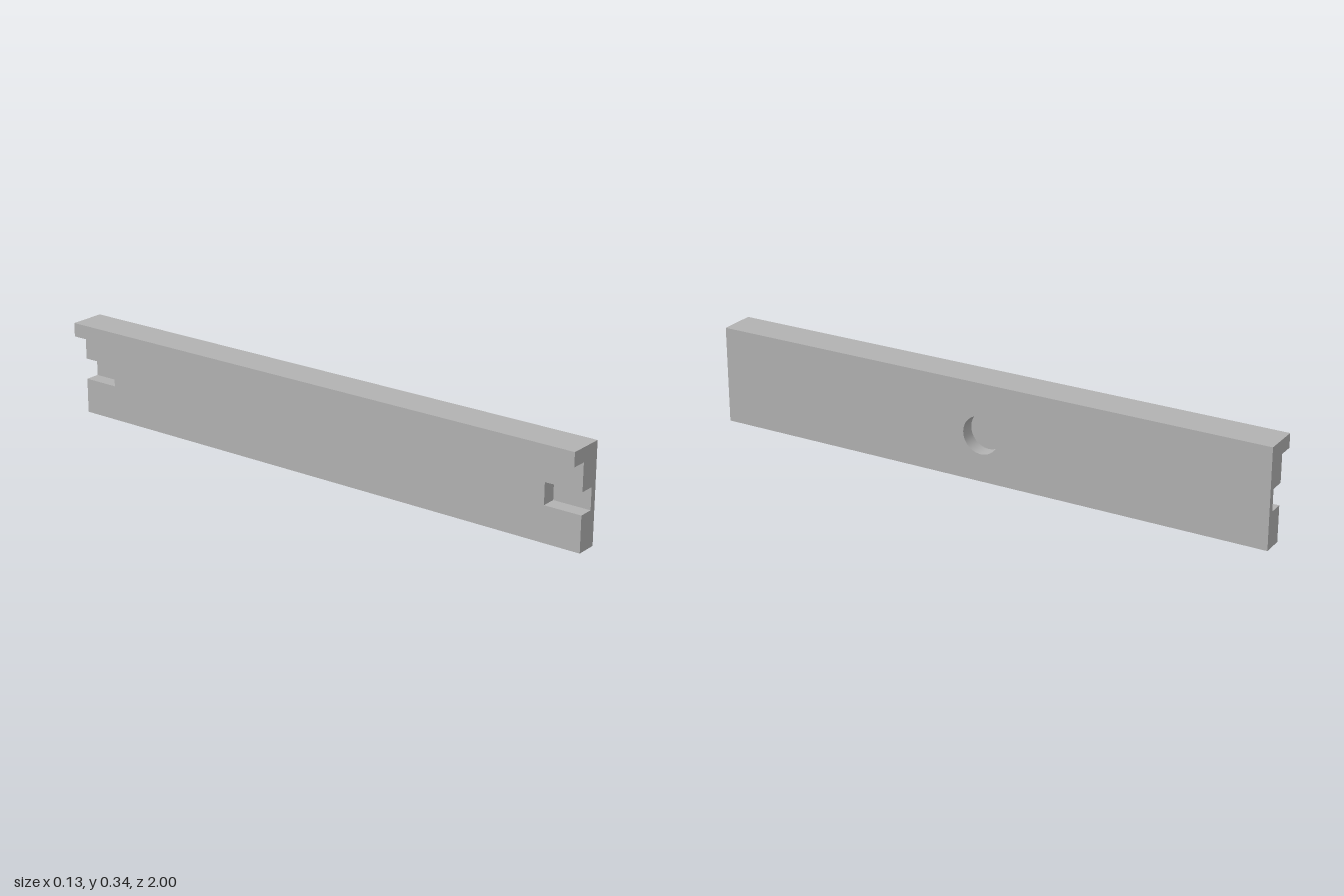
import * as THREE from 'three';

const OUT = 0.0625, IN = -0.0105, LIP = -0.0635;   // x planes: outer face, inner face, lip edge
const TOP = 0.338, LIP_Y = 0.29;                   // rail top and underside of lip
const SLOT_X = 0.041, SLOT_LO = 0.122, SLOT_HI = 0.196, SLOT_LEN = 0.13;
const HOLE_R = 0.065, HOLE_Y = 0.16, HOLE_DEPTH = 0.05;
const HALF = 1;

const shapeFrom = (pts) => new THREE.Shape(pts.map(([a, b]) => new THREE.Vector2(a, b)));

export function createModel() {
  const group = new THREE.Group();
  const grey = new THREE.MeshStandardMaterial({ color: 0xb2b2b2, side: THREE.DoubleSide });

  const add = (name, geometry) => {
    const mesh = new THREE.Mesh(geometry, grey);
    mesh.name = name;
    group.add(mesh);
  };

  // Flat strip along z, following the profile edge a -> b (solid on the left of the edge)
  const strip = (name, [ax, ay], [bx, by], z0, z1) => {
    const g = new THREE.PlaneGeometry(Math.hypot(bx - ax, by - ay), z1 - z0);
    g.rotateX(Math.PI / 2).scale(1, 1, 1);
    g.rotateX(Math.PI);
    g.rotateZ(Math.atan2(by - ay, bx - ax));
    g.translate((ax + bx) / 2, (ay + by) / 2, (z0 + z1) / 2);
    add(name, g);
  };

  // Outer face with the round opening
  const outer = shapeFrom([[-HALF, 0], [HALF, 0], [HALF, TOP], [-HALF, TOP]]);
  outer.holes.push(new THREE.Path().absarc(0, HOLE_Y, HOLE_R, 0, Math.PI * 2, true));
  add('outerFace', new THREE.ShapeGeometry(outer, 24).rotateY(Math.PI / 2).translate(OUT, 0, 0));

  // Blind hole: wall and floor
  const wall = new THREE.CylinderGeometry(HOLE_R, HOLE_R, HOLE_DEPTH, 48, 1, true);
  add('holeWall', wall.rotateZ(Math.PI / 2).translate(OUT - HOLE_DEPTH / 2, HOLE_Y, 0));
  const floor = new THREE.CircleGeometry(HOLE_R, 48);
  add('holeFloor', floor.rotateY(Math.PI / 2).translate(OUT - HOLE_DEPTH, HOLE_Y, 0));

  // Inner face, notched at both ends by the slots
  const s = HALF - SLOT_LEN;
  const inner = shapeFrom([
    [-HALF, 0], [HALF, 0], [HALF, SLOT_LO], [s, SLOT_LO], [s, SLOT_HI], [HALF, SLOT_HI],
    [HALF, LIP_Y], [-HALF, LIP_Y], [-HALF, SLOT_HI], [-s, SLOT_HI], [-s, SLOT_LO], [-HALF, SLOT_LO],
  ]);
  add('innerFace', new THREE.ShapeGeometry(inner).rotateY(-Math.PI / 2).translate(IN, 0, 0));

  // Long faces of the rail and its lip
  strip('bottomFace', [IN, 0], [OUT, 0], -HALF, HALF);
  strip('topFace', [OUT, TOP], [LIP, TOP], -HALF, HALF);
  strip('lipEdge', [LIP, TOP], [LIP, LIP_Y], -HALF, HALF);
  strip('lipUnderside', [LIP, LIP_Y], [IN, LIP_Y], -HALF, HALF);

  // End profile, and the slot cut into each end
  const profile = [
    [IN, 0], [OUT, 0], [OUT, TOP], [LIP, TOP], [LIP, LIP_Y], [IN, LIP_Y],
    [IN, SLOT_HI], [SLOT_X, SLOT_HI], [SLOT_X, SLOT_LO], [IN, SLOT_LO],
  ];
  for (const [end, sign] of [['front', 1], ['back', -1]]) {
    const cap = new THREE.ShapeGeometry(shapeFrom(profile.map(([x, y]) => [x * sign, y])));
    if (sign < 0) cap.rotateY(Math.PI);
    // For the back cap the mirrored outline is turned round to land on the same profile
    add(end + 'End', cap.translate(0, 0, sign * HALF));

    const z0 = Math.min(sign * HALF, sign * s), z1 = Math.max(sign * HALF, sign * s);
    strip(end + 'SlotTop', [IN, SLOT_HI], [SLOT_X, SLOT_HI], z0, z1);
    strip(end + 'SlotFloor', [SLOT_X, SLOT_HI], [SLOT_X, SLOT_LO], z0, z1);
    strip(end + 'SlotBottom', [SLOT_X, SLOT_LO], [IN, SLOT_LO], z0, z1);

    const stop = new THREE.PlaneGeometry(SLOT_X - IN, SLOT_HI - SLOT_LO);
    if (sign < 0) stop.rotateY(Math.PI);
    add(end + 'SlotStop', stop.translate((IN + SLOT_X) / 2, (SLOT_LO + SLOT_HI) / 2, sign * s));
  }

  return group;
}
